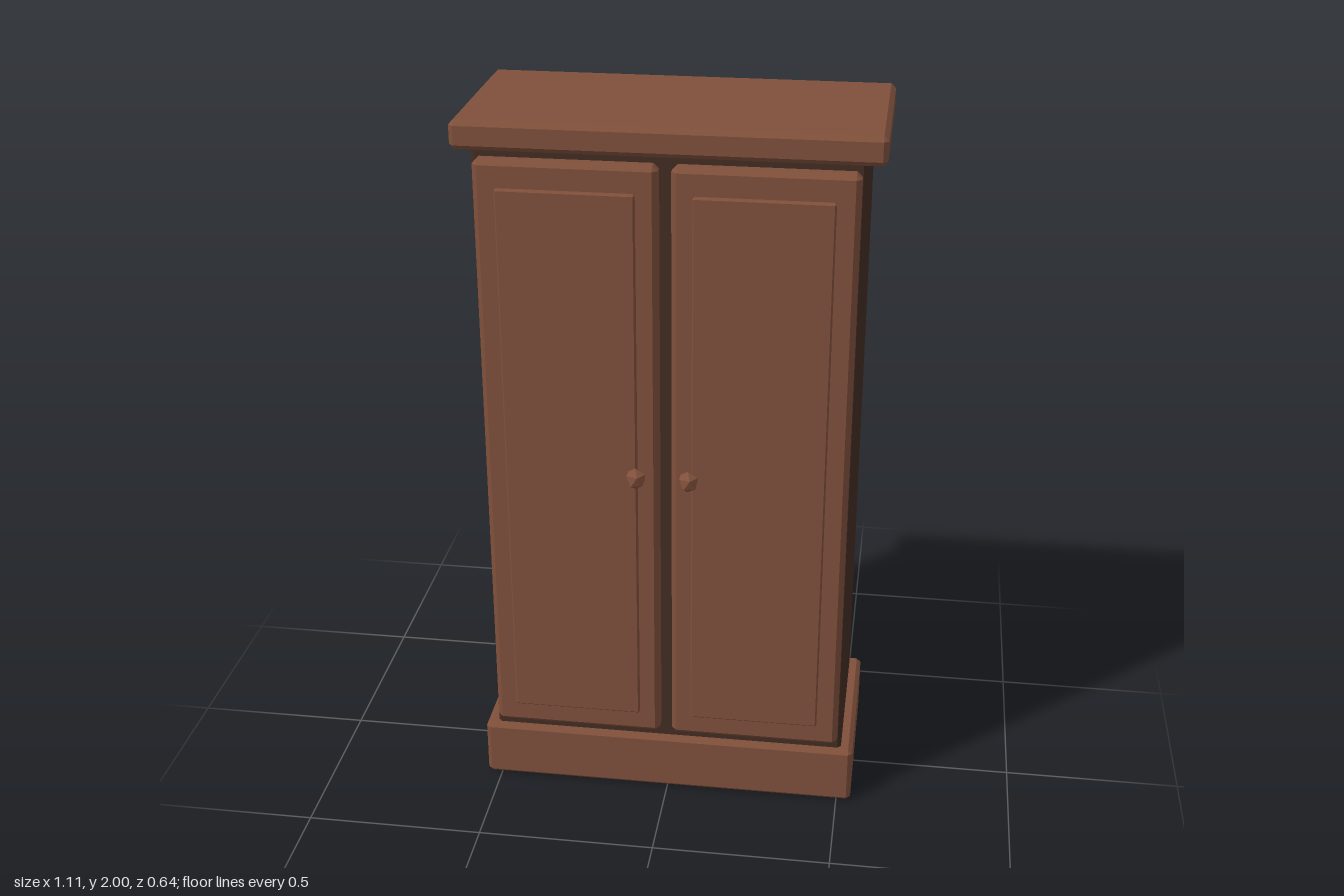
import * as THREE from 'three';
import { ConvexGeometry } from 'three/addons/geometries/ConvexGeometry.js';

const wood = new THREE.MeshStandardMaterial({ color: 0x80503b });
wood.name = 'reddish wood';
const darkWood = new THREE.MeshStandardMaterial({ color: 0x422d22 });
darkWood.name = 'dark wood';

// Box between two corners with every edge chamfered by b
function chamferBox(name, material, [x0, y0, z0], [x1, y1, z1], b) {
  const half = [(x1 - x0) / 2, (y1 - y0) / 2, (z1 - z0) / 2];
  const points = [];
  for (const sx of [-1, 1]) for (const sy of [-1, 1]) for (const sz of [-1, 1]) {
    for (let outer = 0; outer < 3; outer++) {
      const [x, y, z] = half.map((h, i) => (i === outer ? h : h - b));
      points.push(new THREE.Vector3(sx * x, sy * y, sz * z));
    }
  }
  const mesh = new THREE.Mesh(new ConvexGeometry(points), material);
  mesh.position.set((x0 + x1) / 2, (y0 + y1) / 2, (z0 + z1) / 2);
  mesh.name = name;
  return mesh;
}

export function createModel() {
  const wardrobe = new THREE.Group();
  wardrobe.name = 'wardrobe';

  // Carcass, plinth and cornice
  wardrobe.add(
    chamferBox('body', darkWood, [-0.507, 0, -0.29], [0.507, 1.96, 0.19], 0.01),
    chamferBox('plinth', wood, [-0.541, 0.002, -0.312], [0.541, 0.174, 0.21], 0.012),
    chamferBox('cornice', wood, [-0.557, 1.923, -0.322], [0.557, 2, 0.216], 0.013),
  );

  // Two mirrored doors, each with a raised panel and a faceted knob
  for (const side of [1, -1]) {
    const door = new THREE.Group();
    door.name = side > 0 ? 'leftDoor' : 'rightDoor';
    const span = (a, b) => (side > 0 ? [a, b] : [-b, -a]);

    const [d0, d1] = span(0.017, 0.496);
    door.add(chamferBox('doorLeaf', wood, [d0, 0.21, 0.185], [d1, 1.907, 0.236], 0.014));

    const [p0, p1] = span(0.074, 0.436);
    door.add(chamferBox('doorPanel', wood, [p0, 0.28, 0.22], [p1, 1.835, 0.25], 0.004));

    // Icosahedron turned so that one corner points straight up
    const knobShape = new THREE.IcosahedronGeometry(0.03, 0);
    knobShape.rotateZ(-Math.atan(2 / (1 + Math.sqrt(5))));
    const knob = new THREE.Mesh(knobShape, wood);
    knob.name = 'knob';
    knob.position.set(side * 0.071, 1.06, 0.293);
    door.add(knob);

    wardrobe.add(door);
  }

  return wardrobe;
}
